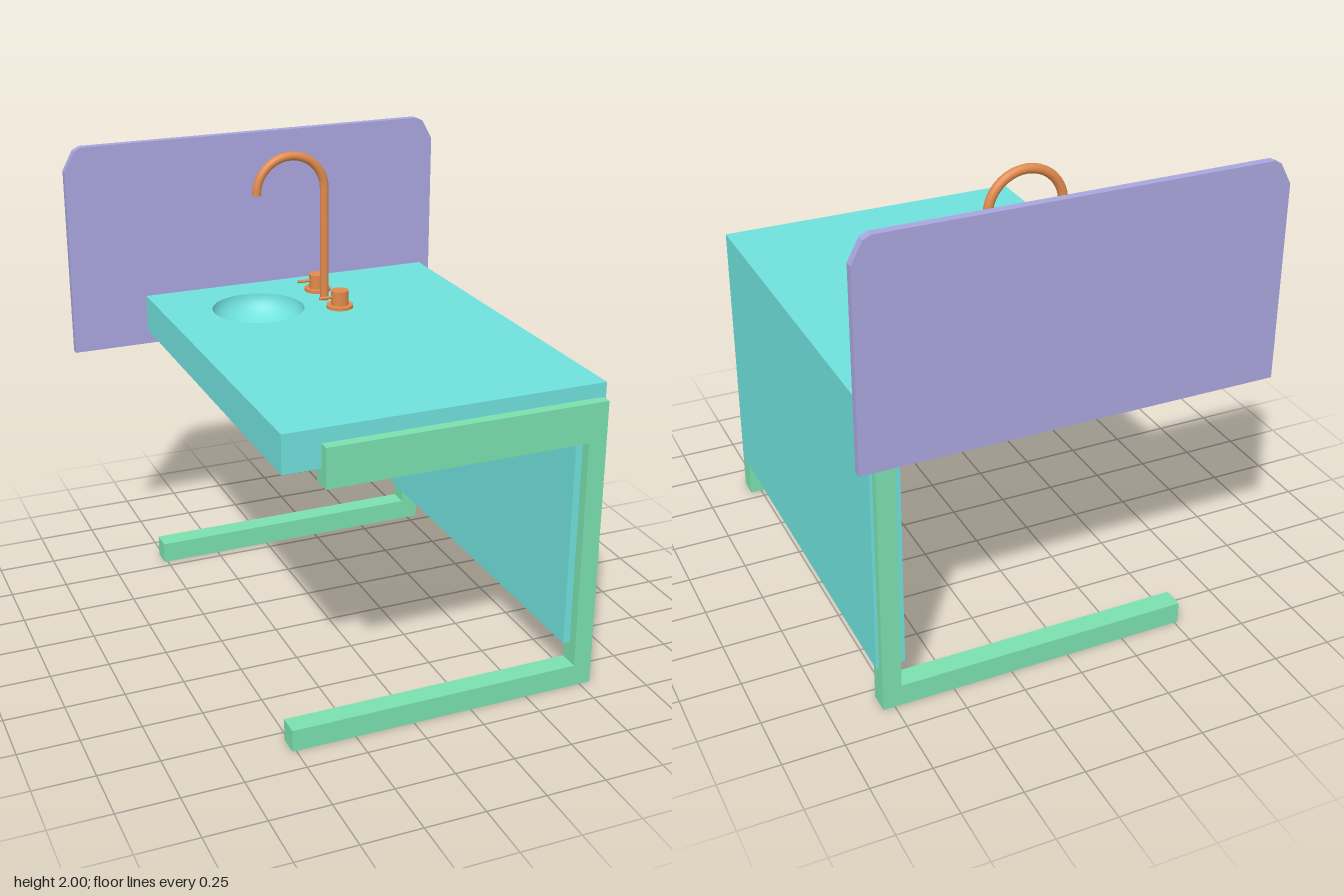
import * as THREE from 'three';
import { mergeGeometries, toCreasedNormals } from 'three/addons/utils/BufferGeometryUtils.js';

const material = (color, side = THREE.FrontSide) => new THREE.MeshStandardMaterial({ color, side });
const TOP = 1.31; // worktop height
const SINK = { x: -0.125, z: -0.5, r: 0.2, depth: 0.13 };

function add(parent, name, geometry, mat, x = 0, y = 0, z = 0) {
  const mesh = new THREE.Mesh(geometry, mat);
  mesh.name = name;
  mesh.position.set(x, y, z);
  parent.add(mesh);
  return mesh;
}

// Extrudes an outline of [x, y] points between two z values
function extrudeOutline(points, z0, z1) {
  const shape = new THREE.Shape(points.map(([x, y]) => new THREE.Vector2(x, y)));
  const g = new THREE.ExtrudeGeometry(shape, { depth: z1 - z0, bevelEnabled: false });
  return g.translate(0, 0, z0);
}

// L-shaped worktop and side panel, with the top face replaced by one with a round opening
function worktopGeometry() {
  const x0 = -0.53, x1 = 0.81, z0 = -0.845, z1 = 0.84;
  const body = extrudeOutline(
    [[x0, 1.15], [0.69, 1.15], [0.69, 0.18], [x1, 0.18], [x1, TOP], [x0, TOP]], z0, z1);
  const p = body.attributes.position;
  const kept = [];
  for (let i = 0; i < p.count; i += 3) {
    const corners = [i, i + 1, i + 2];
    if (corners.every((k) => p.getY(k) > TOP - 1e-4)) continue;
    for (const k of corners) kept.push(p.getX(k), p.getY(k), p.getZ(k));
  }
  const walls = new THREE.BufferGeometry();
  walls.setAttribute('position', new THREE.Float32BufferAttribute(kept, 3));

  const face = new THREE.Shape([
    new THREE.Vector2(x0, -z1), new THREE.Vector2(x1, -z1),
    new THREE.Vector2(x1, -z0), new THREE.Vector2(x0, -z0),
  ]);
  face.holes.push(new THREE.Path().absarc(SINK.x, -SINK.z, SINK.r, 0, Math.PI * 2, true));
  const lid = new THREE.ShapeGeometry(face, 32).toNonIndexed();
  lid.rotateX(-Math.PI / 2).translate(0, TOP, 0);
  lid.deleteAttribute('uv');
  lid.deleteAttribute('normal');

  const merged = mergeGeometries([walls, lid]);
  merged.computeVertexNormals();
  return merged;
}

export function createModel() {
  const model = new THREE.Group();
  model.name = 'sinkUnit';
  const teal = material(0x6fe0dc);
  const green = material(0x7ae0ae);
  const purple = material(0xa9a5de);
  const copper = material(0xe08a4c);

  // Worktop with waterfall side
  add(model, 'worktop', worktopGeometry(), teal);

  // Basin: shallow half ellipsoid
  const bowl = [];
  for (let i = 0; i <= 16; i++) {
    const a = (i / 16) * Math.PI / 2;
    bowl.push(new THREE.Vector2(SINK.r * Math.sin(a), -SINK.depth * Math.cos(a)));
  }
  add(model, 'basin', new THREE.LatheGeometry(bowl, 64),
    material(0x6fe0dc, THREE.DoubleSide), SINK.x, TOP, SINK.z);
  add(model, 'drain', new THREE.CylinderGeometry(0.06, 0.06, 0.012, 32), copper,
    SINK.x, TOP - SINK.depth + 0.008, SINK.z);

  // C-shaped frames at front and back
  const frame = [[-0.515, 0], [0.798, 0], [0.798, 1.25], [-0.375, 1.25],
    [-0.375, 1.085], [0.72, 1.085], [0.72, 0.093], [-0.515, 0.093]];
  add(model, 'frontFrame', extrudeOutline(frame, 0.797, 0.885), green);
  add(model, 'backFrame', extrudeOutline(frame, -0.878, -0.79), green);

  // Splashback with clipped upper corners
  const half = [[0.862, 1.085], [0.862, 1.9], [0.816, 1.985], [0.785, 2]];
  const mirrored = half.map(([x, y]) => [-x, y]).reverse();
  add(model, 'splashback', extrudeOutline([...half, ...mirrored], -0.885, -0.85), purple);

  // Gooseneck tap: straight riser and half-circle spout
  const radius = 0.155, bendX = 0.03, bendY = 1.812;
  const path = new THREE.CurvePath();
  path.add(new THREE.LineCurve3(
    new THREE.Vector3(bendX + radius, TOP - 0.01, SINK.z),
    new THREE.Vector3(bendX + radius, bendY, SINK.z)));
  const arc = [];
  for (let i = 0; i <= 16; i++) {
    const a = (i / 16) * Math.PI;
    arc.push(new THREE.Vector3(bendX + radius * Math.cos(a), bendY + radius * Math.sin(a), SINK.z));
  }
  path.add(new THREE.CatmullRomCurve3(arc));
  const tap = new THREE.Group();
  tap.name = 'tap';
  add(tap, 'tapPipe', new THREE.TubeGeometry(path, 96, 0.019, 20), copper);
  const tip = add(tap, 'spoutEnd', new THREE.CircleGeometry(0.019, 20), copper,
    bendX - radius, bendY, SINK.z);
  tip.rotation.x = Math.PI / 2;
  model.add(tap);

  // Two knobs with a flange and a small lever
  const knobProfile = [[0, 0], [0.058, 0], [0.058, 0.014], [0.038, 0.014], [0.038, 0.078], [0, 0.078]]
    .map(([x, y]) => new THREE.Vector2(x, y));
  const knobGeometry = toCreasedNormals(new THREE.LatheGeometry(knobProfile, 32), 0.6);
  const leverGeometry = new THREE.CylinderGeometry(0.007, 0.007, 0.08, 12).rotateZ(Math.PI / 2);
  [['frontKnob', -0.375], ['backKnob', -0.633]].forEach(([name, z]) => {
    const knob = new THREE.Group();
    knob.name = name;
    knob.position.set(0.206, TOP, z);
    add(knob, 'knobBody', knobGeometry, copper);
    add(knob, 'knobLever', leverGeometry, copper, -0.054, 0.05, 0);
    model.add(knob);
  });

  return model;
}
